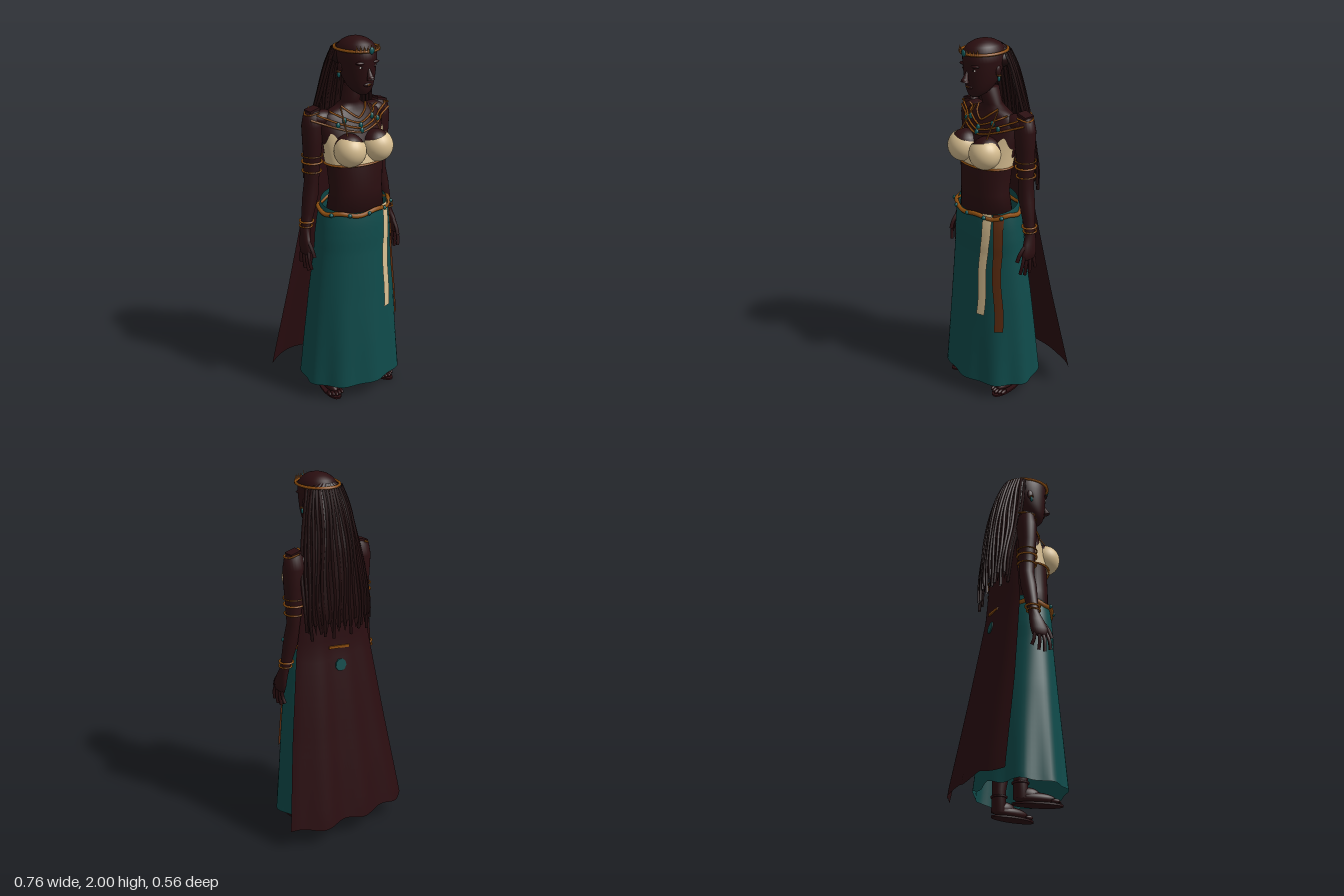
import * as THREE from 'three';

const mat = (name, color, side = THREE.FrontSide) => {
  const m = new THREE.MeshStandardMaterial({ color, side });
  m.name = name;
  return m;
};
const V = (x, y, z) => new THREE.Vector3(x, y, z);

// Smooth surface from fn(u index, v index); rows run downwards
function grid(n, m, fn, wrap = false) {
  const pos = [], idx = [], cols = wrap ? n : n + 1;
  for (let i = 0; i <= m; i++)
    for (let j = 0; j < cols; j++) pos.push(...fn(j / n, i / m));
  for (let i = 0; i < m; i++)
    for (let j = 0; j < n; j++) {
      const k = (j + 1) % cols, a = i * cols + j, b = i * cols + k;
      idx.push(a, b, a + cols, b, b + cols, a + cols);
    }
  const g = new THREE.BufferGeometry();
  g.setAttribute('position', new THREE.Float32BufferAttribute(pos, 3));
  g.setIndex(idx);
  g.computeVertexNormals();
  return g;
}

// Interpolates a table of rows [y, ...values], y descending
function section(rows, y) {
  let i = 0;
  while (i < rows.length - 2 && y < rows[i + 1][0]) i++;
  const t = THREE.MathUtils.clamp((rows[i][0] - y) / (rows[i][0] - rows[i + 1][0]), 0, 1);
  return rows[i].map((v, k) => v + (rows[i + 1][k] - v) * t);
}

// Closed body from elliptical rows [y, rx, rz, cz, cx]
function loft(rows, n = 28, s = 1) {
  const a = rows[0], z = rows[rows.length - 1];
  const all = [[a[0], 0, 0, a[3], a[4]], ...rows, [z[0], 0, 0, z[3], z[4]]];
  return grid(n, all.length - 1, (u, v) => {
    const [y, rx, rz, cz, cx = 0] = all[Math.round(v * (all.length - 1))], t = u * Math.PI * 2;
    return [s * cx + rx * Math.cos(t), y, cz + rz * Math.sin(t)];
  }, true);
}

function frontZ(rows, x, y) {
  const [, rx, rz, cz] = section(rows, y);
  return cz + rz * Math.sqrt(Math.max(0, 1 - (x / rx) ** 2));
}

const tube = (pts, r, closed = false, seg = 40) =>
  new THREE.TubeGeometry(new THREE.CatmullRomCurve3(pts, closed), seg, r, 6, closed);
const ring = (rx, rz, r, x, y, z) =>
  tube(Array.from({ length: 20 }, (_, i) => {
    const a = i * Math.PI / 10;
    return V(x + rx * Math.cos(a), y, z + rz * Math.sin(a));
  }), r, true, 48);
const ball = (r, x, y, z, sx = 1, sy = 1, sz = 1) =>
  new THREE.SphereGeometry(r, 20, 14).scale(sx, sy, sz).translate(x, y, z);

const TORSO = [[1.75, .048, .055, .06], [1.66, .05, .052, .035], [1.635, .085, .058, .03], [1.605, .17, .07, .03],
  [1.55, .19, .09, .035], [1.45, .175, .105, .06], [1.35, .165, .11, .08], [1.2, .152, .108, .09], [1.05, .175, .11, .08]];
const HEAD = [[2, .025, .03, .09], [1.992, .05, .06, .09], [1.975, .076, .092, .09], [1.945, .096, .118, .09], [1.9, .097, .118, .09],
  [1.85, .09, .107, .098], [1.8, .081, .093, .107], [1.76, .066, .073, .122], [1.735, .048, .05, .138], [1.718, .025, .025, .15]];
const SKIRT = [[1.11, .193, .13, .07], [1.03, .212, .145, .065], [.9, .228, .155, .06], [.89, .224, .153, .06],
  [.6, .255, .182, .05], [.35, .275, .207, .045], [.09, .295, .227, .042]];
const ARM = [[1.635, .025, .025, 0, .2], [1.61, .053, .045, 0, .205], [1.55, .061, .056, 0, .207], [1.45, .052, .05, 0, .212],
  [1.35, .044, .046, -.003, .213], [1.25, .038, .042, -.006, .216], [1.17, .042, .043, 0, .228], [1.08, .034, .035, .005, .248],
  [1.0, .024, .028, .01, .267], [.95, .022, .042, .022, .278], [.9, .022, .05, .033, .284], [.865, .016, .043, .035, .286]];
const LEG = [[.6, .07, .07, .02, .12], [.35, .055, .06, 0, .13], [.14, .033, .036, -.015, .142], [.03, .036, .04, -.015, .145]];
const HAIR = [[1.965, .05, .03, -.02], [1.935, .108, .045, -.05], [1.88, .12, .03, -.075], [1.8, .135, .02, -.105],
  [1.65, .165, -.01, -.138], [1.5, .188, -.04, -.155], [1.35, .2, -.085, -.165], [1.2, .19, -.1, -.165]];
const CAPE = [[1.5, .17, -.05, -.085], [1.1, .235, -.055, -.107], [.6, .31, -.12, -.19], [.11, .38, -.2, -.278]];

function hairPoint(a, y, lift = 0) {
  const [, w, zf, zb] = section(HAIR, y);
  const k = 1 + .02 * Math.sin(a * 22) + lift;
  return [w * k * Math.cos(a), y, zf - (zf - zb) * k * Math.sin(a)];
}

export function createModel() {
  const D = THREE.DoubleSide;
  const skin = mat('skin', 0x2a0e10), hairM = mat('hair', 0x200b0c, D), capeM = mat('cape cloth', 0x2a0d10, D);
  const teal = mat('teal cloth', 0x0f4a4a, D), gold = mat('gold', 0x8c4d0e), cream = mat('cream cloth', 0xd6bd90, D);
  const brown = mat('brown sash', 0x57290f, D), gem = mat('gem', 0x0c5658), white = mat('eye white', 0xd8d0c8);
  const model = new THREE.Group();
  const add = (name, geo, m) => {
    const mesh = new THREE.Mesh(geo, m);
    mesh.name = name;
    model.add(mesh);
    return mesh;
  };

  // Body and head
  add('torso', loft(TORSO, 40), skin);
  add('head', loft(HEAD, 40), skin);
  add('nose', new THREE.ConeGeometry(.022, .075, 10).rotateX(-.3).translate(0, 1.835, .208), skin);
  add('noseTip', ball(.015, 0, 1.812, .222, 1.1, .8, 1), skin);
  add('lips', ball(.026, 0, 1.773, .19, 1, .42, .5), skin);
  add('lipRing', new THREE.BoxGeometry(.02, .004, .005).translate(0, 1.775, .204), gold);
  for (const s of [-1, 1]) {
    add('brow', ball(.03, s * .04, 1.885, .188, 1, .3, .5), skin);
    add('eye', ball(.009, s * .04, 1.863, .192, 1.3, .6, .5), white);
    add('iris', ball(.006, s * .04, 1.863, .1955, 1, .9, .4), hairM);
    add('ear', ball(.022, s * .09, 1.85, .075, .4, 1.3, .8), skin);
    add('earring', ball(.012, s * .1, 1.815, .08, .7, 1.3, .7), gem);
    add('earringHoop', ring(.009, .009, .003, s * .1, 1.832, .08), gold);
  }

  // Circlet with points and a front gem
  add('circlet', ring(.106, .128, .008, 0, 1.945, .09), gold);
  for (let i = -4; i <= 4; i++) {
    const a = Math.PI / 2 + i * .17;
    add('circletPoint', new THREE.ConeGeometry(.008, i ? .03 : .05, 6)
      .translate(.107 * Math.cos(a), 1.96, .09 + .13 * Math.sin(a)), gold);
  }
  add('circletGem', ball(.014, 0, 1.95, .224, 1, 1.3, .6), gem);

  // Long hair: rippled sheet and loose strands
  add('hair', grid(96, 24, (u, v) => {
    const a = u * Math.PI, low = 1.24 + .03 * Math.sin(a * 31);
    return hairPoint(a, 1.965 + (low - 1.965) * v);
  }), hairM);
  add('hairCrown', ball(.1, 0, 1.9, .02, 1, .6, .75), hairM);
  for (let i = 0; i < 19; i++) {
    const a = .08 + i * (Math.PI - .16) / 18, end = 1.18 + .045 * (1 + Math.sin(i * 2.4));
    const pts = [1.94, 1.85, 1.7, 1.55, 1.4, 1.3, end]
      .map((y, k) => V(...hairPoint(a + .035 * Math.sin(k * 1.7 + i), y, .01)));
    add('hairStrand', tube(pts, .0085, false, 28), hairM);
  }

  // Cape flaring to a wavy hem
  const capeZ = (t, y) => {
    const [, , e, m] = section(CAPE, y);
    return e + (m - e) * (1 - t ** 4);
  };
  add('cape', grid(40, 24, (u, v) => {
    const t = u * 2 - 1, y = 1.5 - (1.39 - .012 * Math.sin(t * 9)) * v, w = section(CAPE, y)[1];
    return [w * t, y, capeZ(t, y) + .008 * v * Math.sin(t * 10)];
  }), capeM);
  add('backBeltPiece', new THREE.BoxGeometry(.13, .014, .008).rotateZ(.12).translate(0, 1.1, -.112), gold);
  add('backSkirtPatch', new THREE.CylinderGeometry(.034, .034, .008, 9).rotateX(Math.PI / 2)
    .rotateX(.16).translate(0, 1.0, capeZ(0, 1) - .004), teal);

  // Skirt with folds growing toward the hem
  add('skirt', grid(72, 28, (u, v) => {
    const a = u * Math.PI * 2, y0 = 1.11 - 1.02 * v, [, rx, rz, cz] = section(SKIRT, y0);
    const f = 1 + .035 * v * v * Math.sin(a * 9 + .6), s = Math.sin(a);
    const y = y0 + (1 - v) ** 6 * (.02 - .035 * s) + .012 * v ** 8 * Math.max(0, -s) * (1 + Math.sin(a * 9));
    return [rx * f * Math.cos(a), y, cz + rz * f * s];
  }, true), teal);

  // Belt with gems
  const beltPoint = a => V(.208 * Math.cos(a), 1.1 - .012 * Math.sin(a) + .008 * Math.sin(a * 6), .068 + .14 * Math.sin(a));
  add('belt', tube(Array.from({ length: 32 }, (_, i) => beltPoint(i * Math.PI / 16)), .012, true, 96), gold);
  for (let i = 0; i < 5; i++) {
    const p = beltPoint(.5 + i * .535);
    add('beltGem', ball(.011, p.x * 1.05, p.y, p.z + .009), gem);
  }

  // Hanging sashes, laid on the skirt: [name, material, top x, bottom x, width, bottom y, lift]
  for (const [name, m, x0, x1, w, yb, lift] of [['creamSash', cream, .122, .112, .045, .52, .012],
    ['brownSash', brown, .168, .208, .036, .43, .014]])
    add(name, grid(6, 24, (u, v) => {
      const x = x0 + (x1 - x0) * v + .005 * Math.sin(v * 9) + (u - .5) * w, y = 1.11 + (yb - 1.11) * v;
      return [x, y, frontZ(SKIRT, x, y) + lift];
    }), m);

  // Bust wrap
  add('bustBand', grid(60, 8, (u, v) => {
    const a = -.3 + u * (Math.PI + .6), c = Math.abs(Math.cos(a));
    const top = 1.41 + .11 * Math.exp(-(((c - .82) / .2) ** 2)) * (Math.sin(a) > 0 ? 1 : 0);
    const y = top + (1.352 - top) * v, [, rx, rz, cz] = section(TORSO, y);
    return [(rx + .007) * Math.cos(a), y, cz + (rz + .008) * Math.sin(a)];
  }), cream);
  add('bandTrim', tube(Array.from({ length: 21 }, (_, i) => {
    const a = -.3 + i * (Math.PI + .6) / 20;
    return V(.176 * Math.cos(a), 1.355, .08 + .122 * Math.sin(a));
  }), .006), gold);

  // Necklaces draped on the chest: [end x, end y, centre y]
  const chest = (x, y) => V(x, y, Math.max(frontZ(TORSO, x, y), .055 - Math.max(0, Math.abs(x) - .2) * .9) + .008);
  [[.075, 1.645, 1.585], [.15, 1.63, 1.56], [.215, 1.615, 1.535], [.245, 1.59, 1.515]].forEach(([xe, ye, yc], k) => {
    const pts = Array.from({ length: 15 }, (_, i) => {
      const t = i / 7 - 1;
      return chest(xe * t, yc + (ye - yc) * Math.abs(t) ** 1.4);
    });
    add('necklace', tube(pts, .0055, false, 56), gold);
    if (k === 1 || k === 2)
      for (const i of [3, 7, 11]) add('necklaceGem', ball(.012, pts[i].x, pts[i].y - .012, pts[i].z + .006, 1, 1.3, .8), gem);
  });

  for (const s of [-1, 1]) {
    // Bust and cups
    add('bust', ball(.08, s * .083, 1.44, .15), skin);
    add('cup', new THREE.SphereGeometry(.085, 28, 18, 0, Math.PI * 2, .85, Math.PI - .85).rotateX(-.12).rotateZ(s * .25)
      .translate(s * .085, 1.433, .162), cream);
    add('strap', tube([V(s * .085, 1.64, .075), V(s * .095, 1.57, .125), V(s * .105, 1.5, .175)], .004), gold);

    // Arms, with shoulder caps and bands
    add('arm', loft(ARM, 24, s), skin);
    add('shoulderBridge', ball(.055, s * .165, 1.585, .01, 1.3, .8, 1), skin);
    add('shoulderPiece', new THREE.BoxGeometry(.06, .014, .06).rotateZ(-s * .25).translate(s * .21, 1.632, 0), skin);
    add('shoulderTrim', tube([V(s * .2, 1.635, -.045), V(s * .245, 1.615, -.02), V(s * .25, 1.612, .025), V(s * .2, 1.625, .05)], .005), gold);
    for (const [y, r] of [[1.39, .004], [1.355, .006], [1.305, .005], [1.035, .006], [1.01, .005]]) {
      const [, rx, rz, cz, cx] = section(ARM, y);
      add(y > 1.2 ? 'armBand' : 'bracelet', ring(rx + .007, rz + .007, r, s * cx, y, cz), gold);
    }

    // Fingers and thumb, fanned
    for (const [z0, z1, y1] of [[.068, .095, .79], [.047, .062, .775], [.026, .028, .778], [.004, -.012, .8]])
      add('finger', tube([V(s * .285, .89, z0), V(s * .292, .84, (z0 + z1) / 2 + .004), V(s * .285, y1, z1)], .0095, false, 10), skin);
    add('thumb', tube([V(s * .28, .95, .045), V(s * .277, .9, .09), V(s * .274, .86, .108)], .011, false, 10), skin);

    // Legs, feet and sandals
    add('leg', loft(LEG, 20, s), skin);
    add('anklet', ring(.038, .04, .006, s * .142, .11, -.015), capeM);
    const foot = new THREE.Group();
    foot.name = 'foot';
    foot.position.set(s * .145, 0, 0);
    foot.rotation.y = s * .2;
    const part = (name, geo, m) => {
      const mesh = new THREE.Mesh(geo, m);
      mesh.name = name;
      foot.add(mesh);
    };
    part('footBody', ball(.04, 0, .035, .055, .95, .8, 2.7), skin);
    part('instep', ball(.04, 0, .05, .02, .85, 1, 1.6), skin);
    for (let i = 0; i < 5; i++)
      part('toe', ball(.013, (i - 2) * .018, .02, .168 - .008 * Math.abs(i - 2), .8, .9, 1.8), skin);
    part('sole', new THREE.CylinderGeometry(.05, .05, .01, 24).scale(1, 1, 2.6).translate(0, .005, .07), capeM);
    model.add(foot);
  }
  return model;
}
